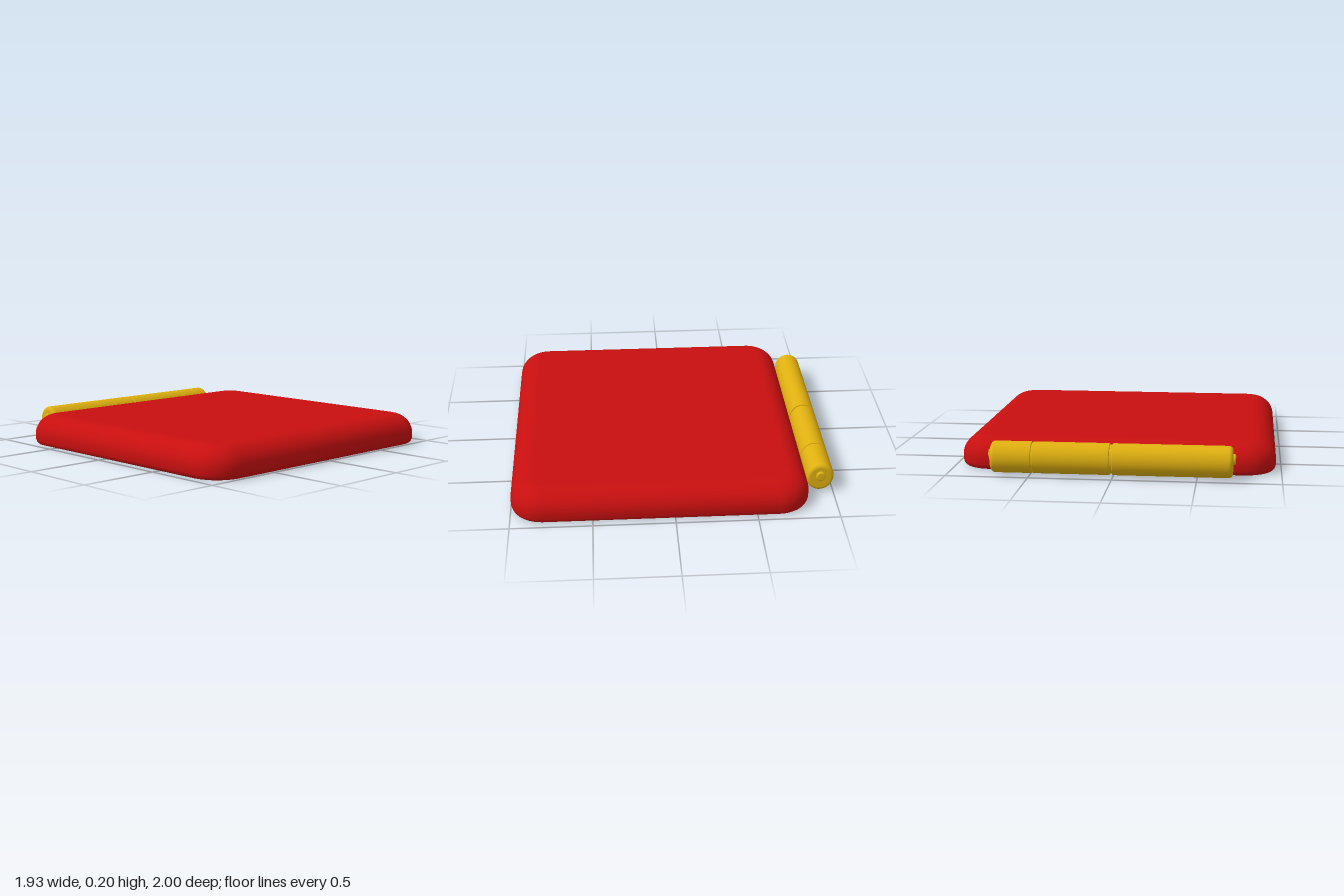
import * as THREE from 'three';

const red = new THREE.MeshStandardMaterial({ color: 0xc80f0f });
red.name = 'red shell';
const yellow = new THREE.MeshStandardMaterial({ color: 0xdfb010 });
yellow.name = 'yellow hinge';

const HALF_X = 0.967, HALF_Z = 0.917, CENTRE_Z = 0.083, CORNER = 0.2, CORNER_STEPS = 10;

// Rounded rectangle, moved inwards by inset and placed at height y
function ring(inset, y, scale = 1) {
  const r = Math.max(CORNER - inset, 0.06), pts = [];
  const cx = HALF_X - inset - r, cz = HALF_Z - inset - r;
  [[1, 1], [-1, 1], [-1, -1], [1, -1]].forEach(([sx, sz], q) => {
    for (let i = 0; i <= CORNER_STEPS; i++) {
      const t = (q + i / CORNER_STEPS) * Math.PI / 2;
      pts.push([(sx * cx + r * Math.cos(t)) * scale, y, (sz * cz + r * Math.sin(t)) * scale + CENTRE_Z]);
    }
  });
  return pts;
}

// Quarter-round edge as [inset, y] points, from the wall up to the top
function fillet(wall, top, w, h, steps = 10) {
  return Array.from({ length: steps + 1 }, (_, i) => {
    const t = i / steps * Math.PI / 2;
    return [wall + w * (1 - Math.cos(t)), top - h * (1 - Math.sin(t))];
  });
}

// Hollow lid, open underneath: inner top, inner wall, rim, outer wall, outer top
function lidGeometry() {
  const profile = [
    [0.24, 0.17, 0], [0.24, 0.17], [0.19, 0.17],
    ...fillet(0.028, 0.17, 0.13, 0.12).reverse(),
    [0.03, 0.012], [0.033, 0.003], [0.026, 0], [0.018, 0.002], [0.007, 0.012], [0.001, 0.03],
    ...fillet(0, 0.192, 0.14, 0.13),
    [0.18, 0.192], [0.24, 0.192], [0.24, 0.192, 0],
  ];
  const rings = profile.map((p) => ring(...p));
  const n = rings[0].length, index = [];
  for (let i = 0; i < rings.length - 1; i++) {
    for (let j = 0; j < n; j++) {
      const k = (j + 1) % n;
      const a = i * n + j, b = a + n, c = (i + 1) * n + k, d = i * n + k;
      index.push(a, b, d, b, c, d);
    }
  }
  const g = new THREE.BufferGeometry();
  g.setAttribute('position', new THREE.Float32BufferAttribute(rings.flat(2), 3));
  g.setIndex(index);
  g.computeVertexNormals();
  return g;
}

// Round bar along x from x0 to x1, with a rounding radius at each end
function bar(name, x0, x1, radius, e0, e1) {
  const pts = [new THREE.Vector2(0, x0), new THREE.Vector2(radius - e0, x0)];
  for (let i = 1; i <= 5; i++) {
    const t = i / 5 * Math.PI / 2;
    pts.push(new THREE.Vector2(radius - e0 + e0 * Math.sin(t), x0 + e0 * (1 - Math.cos(t))));
  }
  for (let i = 0; i <= 5; i++) {
    const t = i / 5 * Math.PI / 2;
    pts.push(new THREE.Vector2(radius - e1 + e1 * Math.cos(t), x1 - e1 + e1 * Math.sin(t)));
  }
  pts.push(new THREE.Vector2(0, x1));
  const mesh = new THREE.Mesh(new THREE.LatheGeometry(pts, 40).rotateZ(-Math.PI / 2), yellow);
  mesh.name = name;
  return mesh;
}

export function createModel() {
  const model = new THREE.Group();
  model.name = 'hingedLid';

  const lid = new THREE.Mesh(lidGeometry(), red);
  lid.name = 'lid';
  model.add(lid);

  // Hinge barrel in three knuckles, slightly taller than deep
  const hinge = new THREE.Group();
  hinge.name = 'hinge';
  hinge.add(
    bar('longKnuckle', -0.712, 0.002, 0.0955, 0.026, 0.006),
    bar('middleKnuckle', 0.016, 0.477, 0.0955, 0.006, 0.004),
    bar('endKnuckle', 0.484, 0.732, 0.0955, 0.004, 0.026),
    bar('hingeCore', -0.6, 0.6, 0.086, 0.005, 0.005),
  );
  const pin = bar('hingePin', -0.728, 0.748, 0.032, 0.01, 0.01);
  pin.position.y = 0.016;
  hinge.add(pin);
  hinge.scale.z = 0.9;
  hinge.position.set(0, 0.106, -0.914);
  model.add(hinge);

  return model;
}
